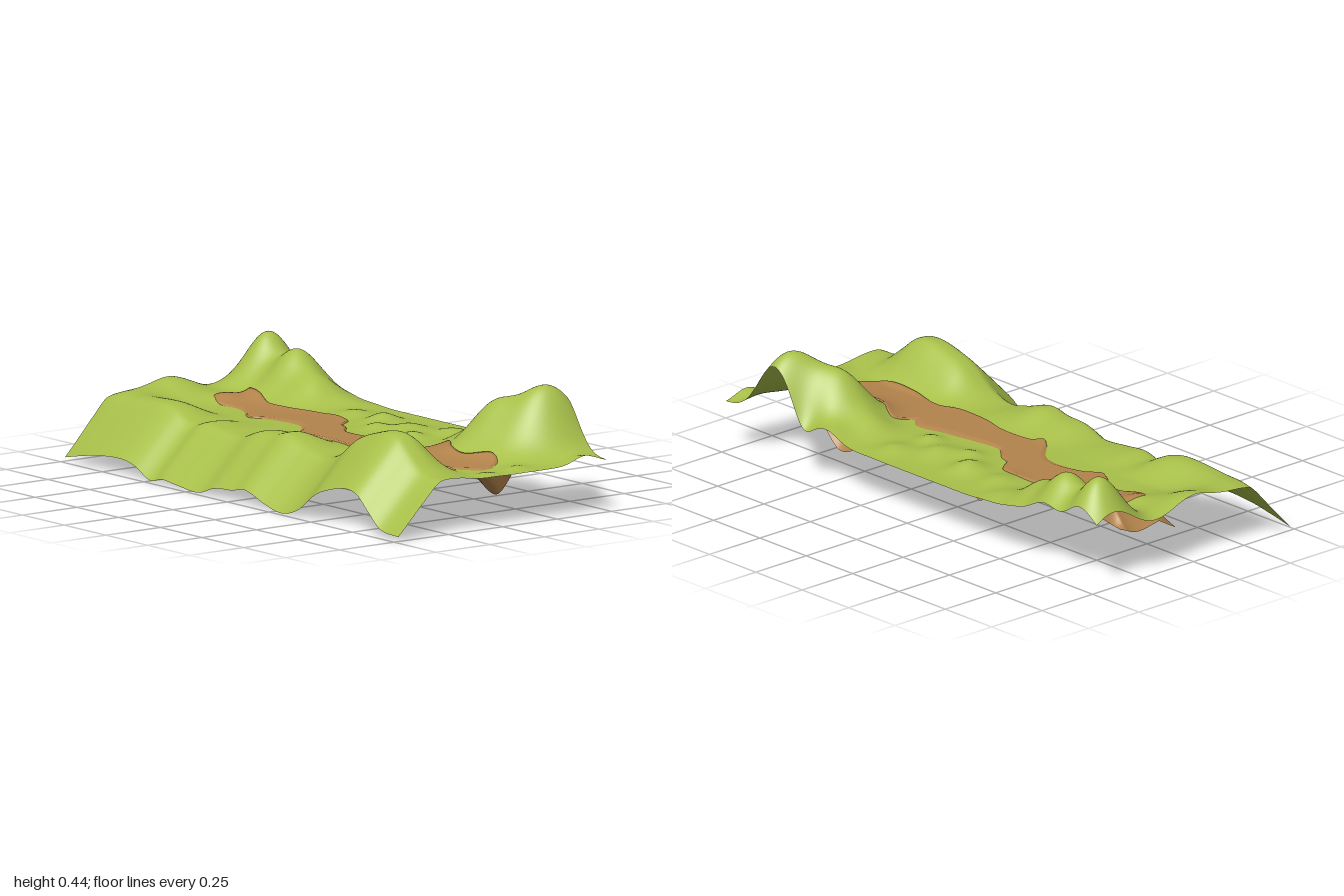
import * as THREE from 'three';

const BASE = 0.19;

// Smooth cubic curve through rows of [key, a, b, ...] sorted by key
function lookup(rows, key, col = 1) {
  const last = rows.length - 1;
  if (key <= rows[0][0]) return rows[0][col];
  if (key >= rows[last][0]) return rows[last][col];
  const i = rows.findIndex((row) => row[0] > key);
  const slope = (k) => {
    const a = rows[Math.max(k - 1, 0)], b = rows[Math.min(k + 1, last)];
    return (b[col] - a[col]) / (b[0] - a[0]);
  };
  const p = rows[i - 1], q = rows[i], d = q[0] - p[0];
  const t = (key - p[0]) / d, s = t * t * (3 - 2 * t);
  return p[col] + (q[col] - p[col]) * s
    + d * t * (1 - t) * (slope(i - 1) * (1 - t) - slope(i) * t);
}

// Height of the left bank along z
const leftBank = [
  [-1, 0.015], [-0.9, 0.035], [-0.8, 0.052], [-0.66, 0.06], [-0.58, 0.045], [-0.49, 0.006],
  [-0.42, 0.02], [-0.33, 0.012], [-0.2, 0.004], [-0.1, 0.035], [0, 0.042], [0.08, 0.055],
  [0.2, 0.02], [0.3, 0.002], [0.4, 0.03], [0.5, 0.1], [0.58, 0.13], [0.68, 0.15],
  [0.75, 0.138], [0.81, 0.09], [0.89, 0.03], [1, 0.018],
];

// Hills and hollows: x, z, height, spread in x, spread in z
const hills = [
  [0.41, 0.74, 0.242, 0.18, 0.12], // front peak
  [0.29, 0.575, 0.165, 0.135, 0.115],
  [0.48, 0.585, -0.05, 0.06, 0.06],
  [0.48, 0.45, 0.035, 0.09, 0.08],
  [0.30, 0.40, 0.035, 0.09, 0.07],
  [0.38, 1.0, 0.03, 0.07, 0.06],
  [0.38, -0.9, 0.195, 0.13, 0.09], // rear peak
  [0.37, -0.72, 0.165, 0.13, 0.1],
  [0.34, -0.56, 0.085, 0.12, 0.1],
  [0.42, -1.0, 0.05, 0.15, 0.08],
  [0, -0.99, 0.07, 0.14, 0.16], // rear saddle
  [-0.22, -0.97, 0.022, 0.15, 0.1],
  [0.09, -0.78, 0.018, 0.07, 0.06],
  [0.27, 0.08, 0.028, 0.08, 0.07], // small mounds
  [0.2, 0.2, 0.022, 0.05, 0.05],
  [0.36, 0.22, 0.02, 0.07, 0.06],
  [0.2, -0.02, 0.02, 0.05, 0.05],
  [0.3, -0.11, 0.035, 0.07, 0.06],
  [0.3, -0.28, 0.02, 0.07, 0.07],
  [0.4, -0.4, 0.015, 0.08, 0.07],
  [0.12, 0.93, 0.012, 0.05, 0.04],
  [-0.04, 0.95, 0.01, 0.05, 0.04],
];

function ground(x, z) {
  // Bank profile: flat valley, raised shoulder, then a straight fall to the outer edge
  let y = BASE + lookup(leftBank, z) * THREE.MathUtils.smoothstep(-x, 0.055, 0.245);
  const fall = -0.29 - x;
  y -= 0.5 * (fall + Math.sqrt(fall * fall + 0.0003));
  for (const [hx, hz, h, sx, sz] of hills) {
    y += h * Math.exp(-(((x - hx) / sx) ** 2) - ((z - hz) / sz) ** 2);
  }
  return Math.max(y, 0);
}

// Grid of (rows + 1) x (cols + 1) points from a rule
function sheet(rows, cols, point) {
  const pos = [], index = [];
  for (let r = 0; r <= rows; r++) {
    for (let c = 0; c <= cols; c++) {
      pos.push(...point(r / rows, c / cols));
      if (r < rows && c < cols) {
        const a = r * (cols + 1) + c, b = a + cols + 1;
        index.push(a, b, a + 1, b, b + 1, a + 1);
      }
    }
  }
  const geo = new THREE.BufferGeometry();
  geo.setAttribute('position', new THREE.Float32BufferAttribute(pos, 3));
  geo.setIndex(index);
  geo.computeVertexNormals();
  return geo;
}

// Visible trail borders
const leftEdge = [
  [-0.79, 0.05], [-0.72, 0.025], [-0.65, 0.05], [-0.57, 0.03], [-0.48, -0.03], [-0.42, 0.01],
  [-0.3, 0.04], [-0.2, 0.02], [-0.09, -0.1], [-0.04, -0.07], [0.1, -0.065], [0.22, -0.09],
  [0.35, -0.095], [0.45, -0.065], [0.6, -0.085], [0.75, -0.08], [0.8, -0.04], [0.85, 0.01],
];
const rightEdge = [
  [-0.79, 0.21], [-0.7, 0.19], [-0.6, 0.155], [-0.5, 0.165], [-0.38, 0.21], [-0.2, 0.205],
  [-0.15, 0.14], [-0.1, 0.12], [-0.03, 0.065], [0.1, 0.065], [0.25, 0.09], [0.35, 0.115],
  [0.4, 0.085], [0.43, 0.165], [0.47, 0.16], [0.55, 0.11], [0.65, 0.09], [0.75, 0.14],
  [0.82, 0.105], [0.85, 0.05],
];
// Buried borders of the trail: z, x, y
const leftTip = [
  [-0.87, -0.033, 0.09], [-0.75, -0.033, 0.13], [-0.5, -0.04, 0.17], [-0.25, -0.033, 0.175],
  [-0.09, -0.11, 0.18], [0.2, -0.11, 0.16], [0.6, -0.11, 0.155], [0.8, -0.1, 0.17], [0.92, -0.05, 0.175],
];
const rightTip = [
  [-0.87, 0.24, 0.15], [-0.6, 0.22, 0.17], [-0.3, 0.24, 0.175], [-0.2, 0.24, 0.145], [-0.1, 0.235, 0.05],
  [0.02, 0.2, 0.14], [0.25, 0.18, 0.175], [0.42, 0.21, 0.16], [0.52, 0.24, 0.09],
  [0.65, 0.24, 0.042], [0.77, 0.23, 0.15], [0.92, 0.12, 0.175],
];

function trailPoint(v, u) {
  const z = -0.87 + 1.79 * v;
  const l = lookup(leftEdge, z), r = lookup(rightEdge, z);
  // Lies just above the ground, then dives under it at both ends
  const ends = Math.max(0, -0.79 - z) * 1.2 + Math.max(0, z - 0.85) * 0.35;
  const top = (x) => ground(x, z) + 0.006 - ends;
  // Outer fifths of each row are the buried flaps
  const flap = (edge, tips, t) => {
    const x = THREE.MathUtils.lerp(edge, lookup(tips, z), t);
    return [x, THREE.MathUtils.lerp(top(edge), lookup(tips, z, 2), t), z];
  };
  if (u < 0.2) return flap(l, leftTip, 1 - u / 0.2);
  if (u > 0.8) return flap(r, rightTip, (u - 0.8) / 0.2);
  const x = THREE.MathUtils.lerp(l, r, (u - 0.2) / 0.6);
  return [x, top(x), z];
}

export function createModel() {
  const model = new THREE.Group();
  model.name = 'valley';
  const add = (name, geometry, color) => {
    const material = new THREE.MeshStandardMaterial({ color, side: THREE.DoubleSide });
    const mesh = new THREE.Mesh(geometry, material);
    mesh.name = name;
    model.add(mesh);
  };

  // Grassy land
  add('grassTerrain', sheet(200, 96, (v, u) => {
    const x = -0.48 + 0.96 * u, z = -1 + 2 * v;
    return [x, ground(x, z), z];
  }), 0xa8c04a);

  // Dirt trail along the valley floor
  add('dirtTrail', sheet(180, 30, trailPoint), 0xb4844c);
  return model;
}
